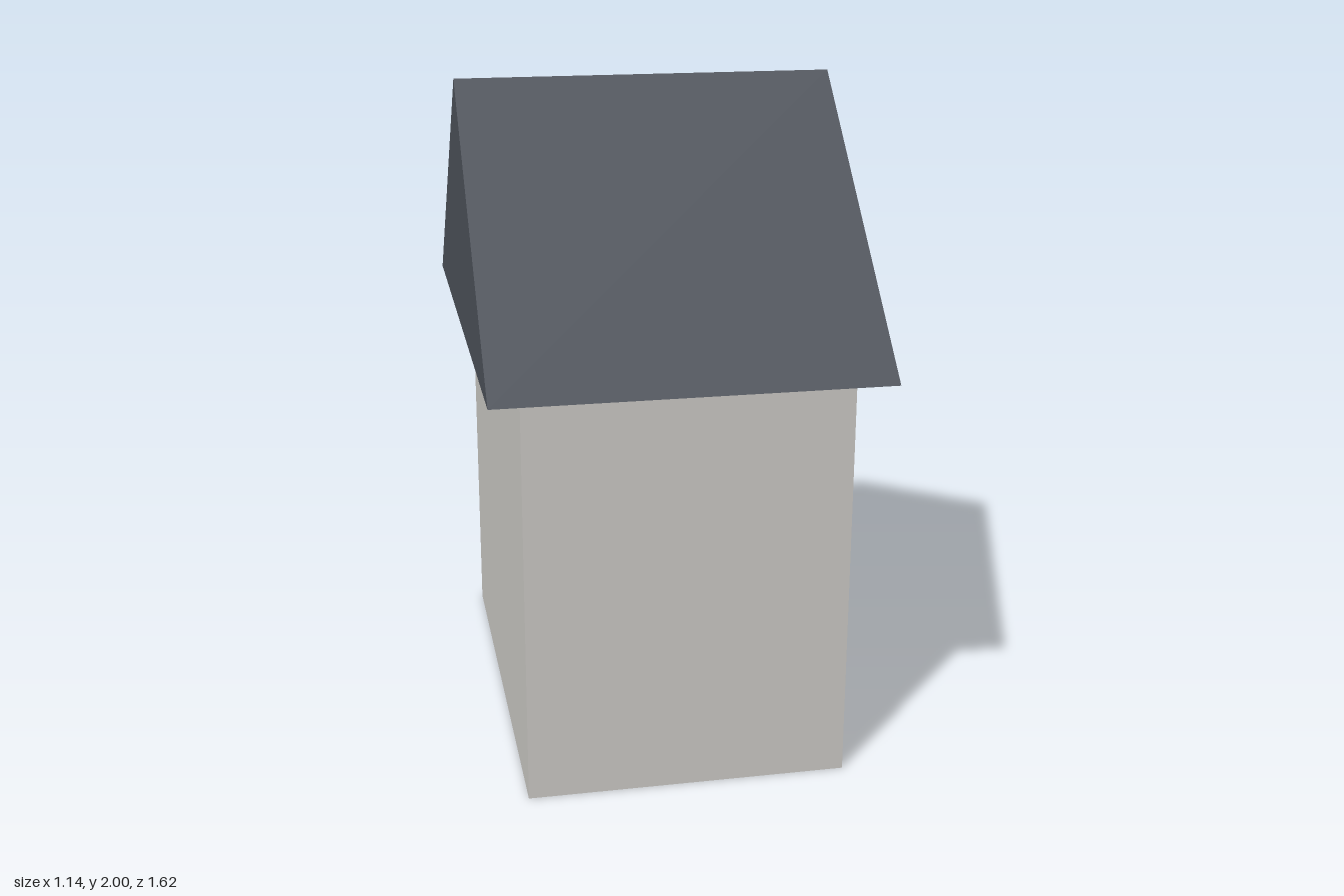
import * as THREE from 'three';

export function createModel() {
  const house = new THREE.Group();
  house.name = 'house';

  const plaster = new THREE.MeshStandardMaterial({ color: 0xcac8c4 });
  plaster.name = 'pale grey plaster';
  const slate = new THREE.MeshStandardMaterial({ color: 0x4c5159 });
  slate.name = 'dark slate';

  const add = (name, geometry, material, x, y, z) => {
    const mesh = new THREE.Mesh(geometry, material);
    mesh.name = name;
    mesh.position.set(x, y, z);
    house.add(mesh);
  };

  const wallWidth = 0.952, wallHeight = 1.238, wallDepth = 1.429;
  const roofWidth = 1.143, roofHeight = 0.762, roofDepth = 1.619;
  const panelThickness = 0.04, panelSize = 0.762;

  // Walls
  add('walls', new THREE.BoxGeometry(wallWidth, wallHeight, wallDepth), plaster, 0, wallHeight / 2, 0);

  // Gable roof: triangular section swept along x
  const gable = new THREE.Shape([
    new THREE.Vector2(-roofDepth / 2, 0),
    new THREE.Vector2(roofDepth / 2, 0),
    new THREE.Vector2(0, roofHeight),
  ]);
  const roof = new THREE.ExtrudeGeometry(gable, { depth: roofWidth, bevelEnabled: false });
  roof.translate(0, 0, -roofWidth / 2).rotateY(Math.PI / 2);
  add('roof', roof, slate, 0, wallHeight, 0);

  // Raised panel on the left wall
  add('sidePanel', new THREE.BoxGeometry(panelThickness, panelSize, panelSize), slate,
    wallWidth / 2 + panelThickness / 2, 0.619, 0);

  return house;
}
